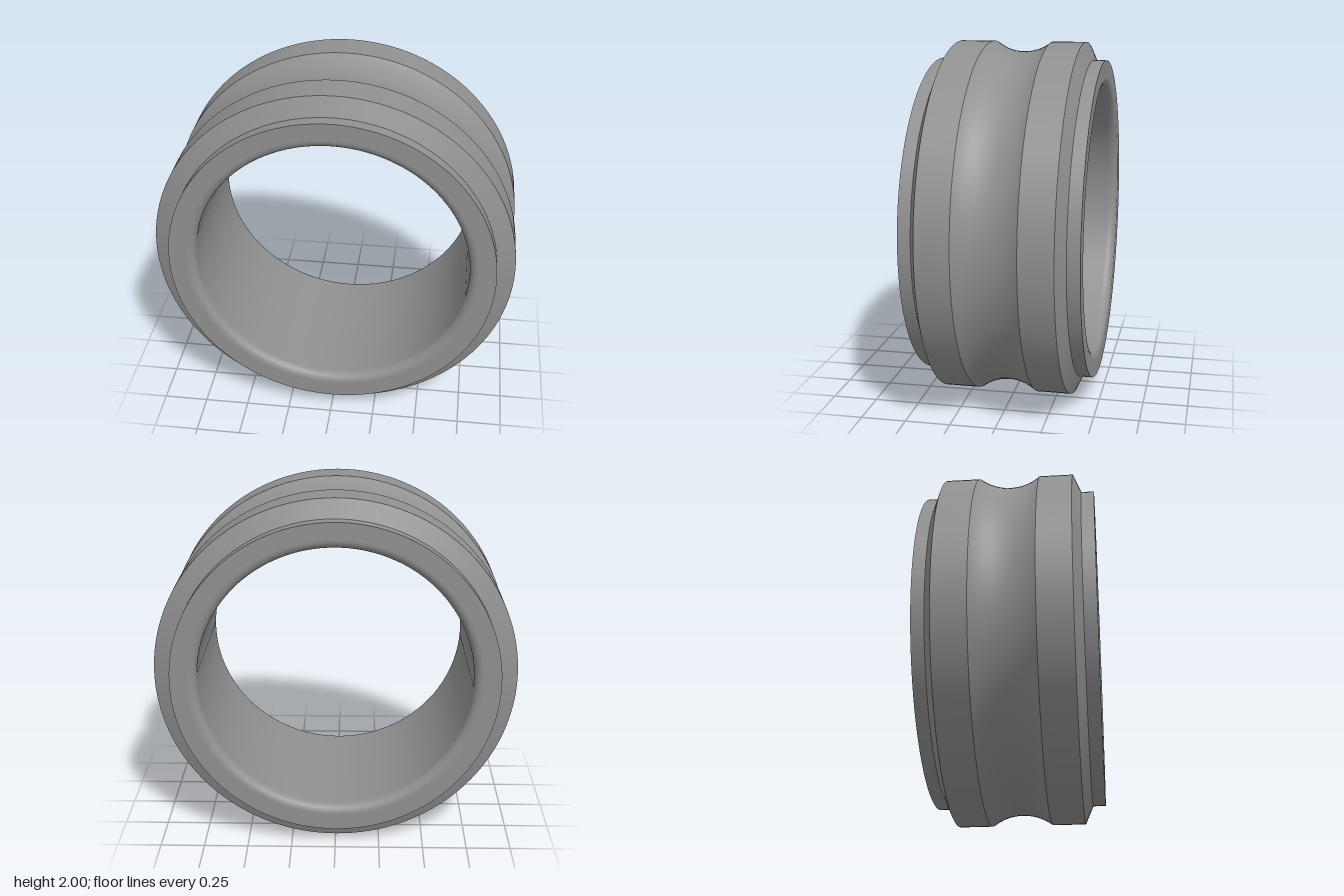
import * as THREE from 'three';
import { mergeGeometries } from 'three/addons/utils/BufferGeometryUtils.js';

const SIDES = 128;
const BORE = 0.755, LIP = 0.9, RIM = 1;          // radii
const END = 0.47, SHOULDER = 0.4, EDGE = 0.355, GROOVE = 0.17; // distances from the middle
const FILLET = 0.05, GROOVE_DEPTH = 0.057;

// Profile points along an arc, as (radius, depth)
function arc(cr, cz, r, from, to, steps) {
  return Array.from({ length: steps + 1 }, (_, i) => {
    const a = from + (to - from) * i / steps;
    return [cr + r * Math.cos(a), cz + r * Math.sin(a)];
  });
}

// Revolve each section separately so that the edges between them stay sharp
function revolve(name, sections, material) {
  const parts = sections.map(s =>
    new THREE.LatheGeometry(s.map(([r, z]) => new THREE.Vector2(r, z)), SIDES));
  const mesh = new THREE.Mesh(mergeGeometries(parts).rotateX(Math.PI / 2), material);
  mesh.name = name;
  return mesh;
}

// The same sections on the back side, reversed to keep them facing outwards
const mirror = sections => sections.map(s => s.map(([r, z]) => [r, -z]).reverse());

export function createModel() {
  const steel = new THREE.MeshStandardMaterial({ color: 0x909090 });
  steel.name = 'grey steel';

  const ring = new THREE.Group();
  ring.name = 'bearingRing';

  // Rounded ball track around the middle
  const R = (GROOVE ** 2 + GROOVE_DEPTH ** 2) / (2 * GROOVE_DEPTH);
  const half = Math.asin(GROOVE / R);
  const track = arc(RIM - GROOVE_DEPTH + R, 0, R, Math.PI + half, Math.PI - half, 24);
  ring.add(revolve('ballTrack', [track], steel));

  // Rim, chamfer and stepped lip of each side
  const rim = [
    [[RIM, GROOVE], [RIM, EDGE]],
    [[RIM, EDGE], [LIP, SHOULDER]],
    [[LIP, SHOULDER], [LIP, END]],
  ];
  // Flat end and the rounded edge into the bore
  const end = [
    [[LIP, END], [BORE + FILLET, END]],
    arc(BORE + FILLET, END - FILLET, FILLET, Math.PI / 2, Math.PI, 12),
  ];
  ring.add(revolve('frontRim', rim, steel), revolve('backRim', mirror(rim), steel));
  ring.add(revolve('frontEnd', end, steel), revolve('backEnd', mirror(end), steel));

  // Inner wall
  const wall = [[BORE, END - FILLET], [BORE, FILLET - END]];
  ring.add(revolve('bore', [wall], steel));

  ring.position.y = RIM;
  const model = new THREE.Group();
  model.name = 'bearing';
  model.add(ring);
  return model;
}
